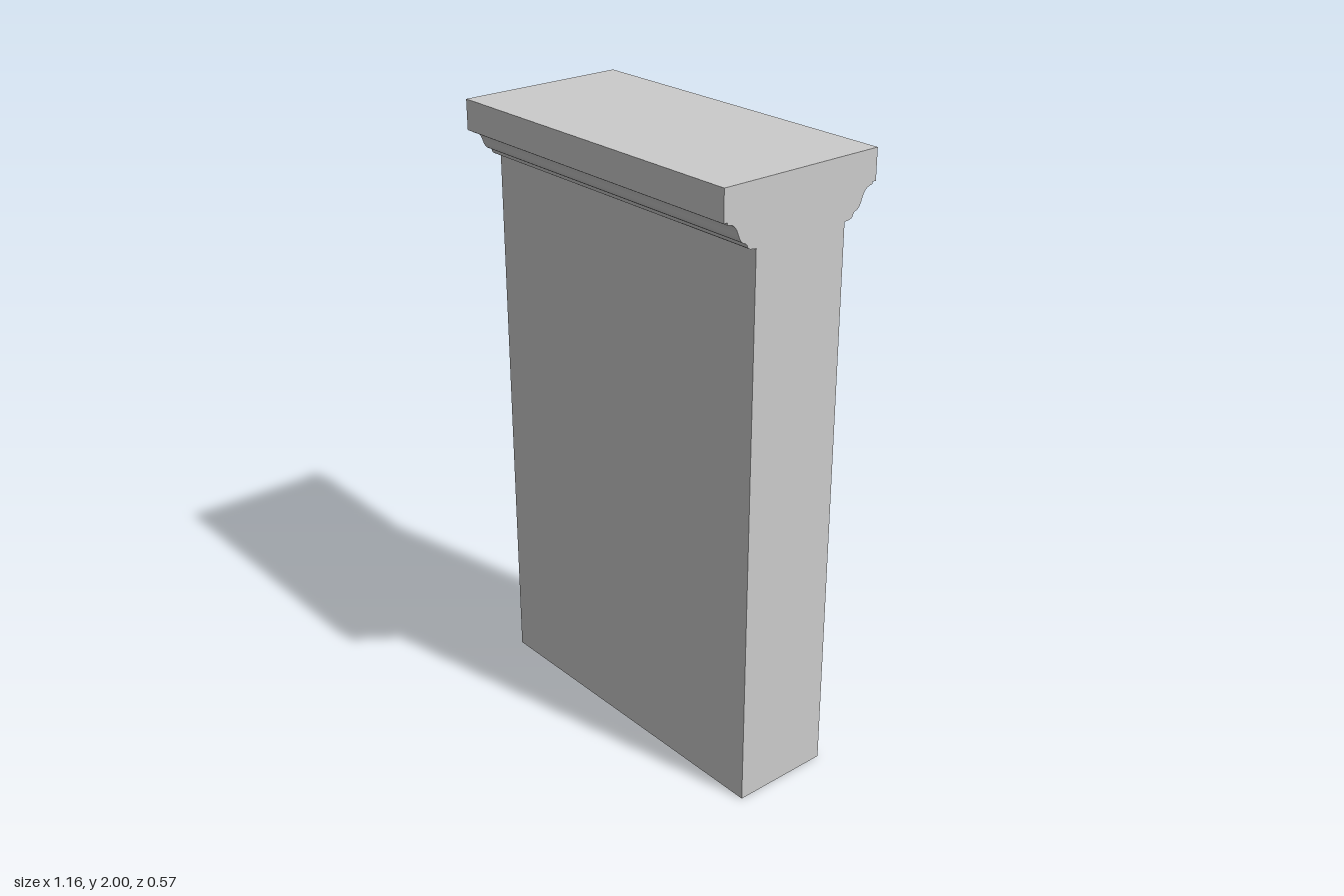
import * as THREE from 'three';
import { toCreasedNormals } from 'three/addons/utils/BufferGeometryUtils.js';

const WIDTH = 1.16;

// Half of the moulding profile, from the shaft up to the flat top: [depth, height]
function halfProfile() {
  const ogee = new THREE.CubicBezierCurve(
    new THREE.Vector2(0.205, 1.832), new THREE.Vector2(0.242, 1.838),
    new THREE.Vector2(0.222, 1.894), new THREE.Vector2(0.272, 1.897));
  const bead = new THREE.QuadraticBezierCurve(
    new THREE.Vector2(0.182, 1.812), new THREE.Vector2(0.198, 1.813),
    new THREE.Vector2(0.2, 1.826));
  return [
    new THREE.Vector2(0.167, 0),
    new THREE.Vector2(0.167, 1.81),
    ...bead.getPoints(5),
    ...ogee.getPoints(14),
    new THREE.Vector2(0.272, 1.904),
    new THREE.Vector2(0.285, 1.904),
    new THREE.Vector2(0.285, 2),
  ];
}

export function createModel() {
  const group = new THREE.Group();
  group.name = 'mouldedPier';

  // Mirror the half profile and sweep it straight across the width
  const half = halfProfile();
  const mirrored = half.map((p) => new THREE.Vector2(-p.x, p.y)).reverse();
  const shape = new THREE.Shape([...half, ...mirrored]);
  const extruded = new THREE.ExtrudeGeometry(shape, { depth: WIDTH, bevelEnabled: false, steps: 1 });
  extruded.translate(0, 0, -WIDTH / 2);
  extruded.rotateY(-Math.PI / 2);

  const pier = new THREE.Mesh(
    toCreasedNormals(extruded, Math.PI / 6),
    new THREE.MeshStandardMaterial({ color: 0xcccccc }));
  pier.name = 'pierWithCornice';
  group.add(pier);
  return group;
}
